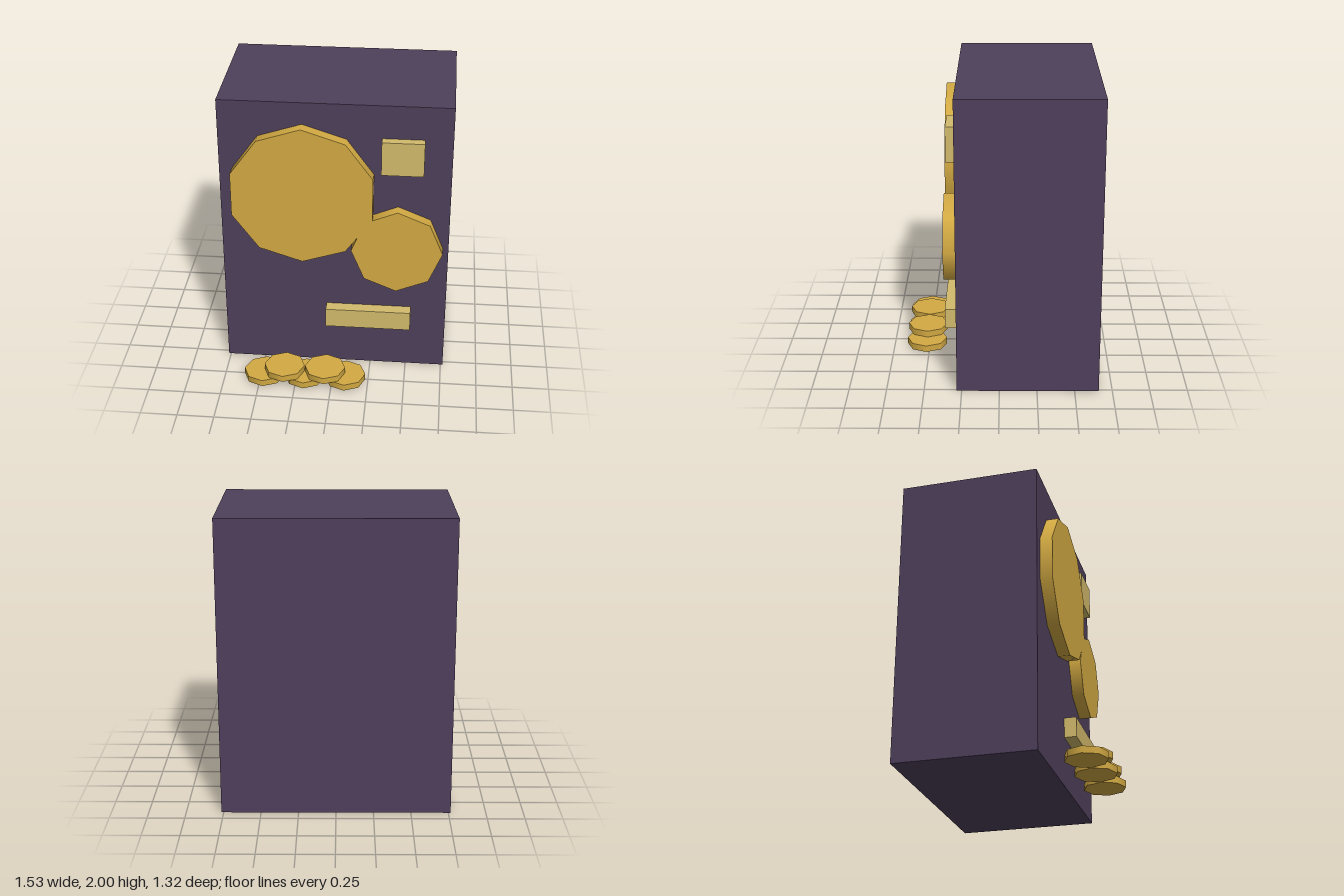
import * as THREE from 'three';

export function createModel() {
  const model = new THREE.Group();
  const mat = (name, color) => {
    const m = new THREE.MeshStandardMaterial({ color });
    m.name = name;
    return m;
  };
  const purple = mat('dark purple', 0x4e3f5b);
  const gold = mat('gold', 0xd3aa43);
  const pale = mat('pale gold', 0xd2ba6c);
  const FRONT = 0.283; // front face of the cabinet

  const add = (name, geometry, material, x, y, z) => {
    const mesh = new THREE.Mesh(geometry, material);
    mesh.name = name;
    mesh.position.set(x, y, z);
    model.add(mesh);
    return mesh;
  };
  // Parts mounted on the cabinet front, standing out by depth
  const plate = (name, w, h, depth, x, y) =>
    add(name, new THREE.BoxGeometry(w, h, depth), pale, x, y, FRONT + depth / 2);
  const disc = (name, radius, sides, depth, x, y) => {
    const geometry = new THREE.CylinderGeometry(radius, radius, depth, sides).rotateX(Math.PI / 2);
    add(name, geometry, gold, x, y, FRONT + depth / 2);
  };

  // Cabinet
  add('cabinet', new THREE.BoxGeometry(1.53, 2, 0.943), purple, 0, 1, -0.1885);

  // Front discs; the small one sits a hair lower where they overlap
  disc('largeDisc', 0.493, 10, 0.083, -0.213, 1.356);
  disc('smallDisc', 0.306, 8, 0.082, 0.421, 0.966);

  // Display panel and tray bar
  plate('displayPanel', 0.277, 0.235, 0.061, 0.445, 1.652);
  plate('trayBar', 0.583, 0.139, 0.083, 0.234, 0.412);

  // Coins stacked in two rows in front of the cabinet
  const coin = new THREE.CylinderGeometry(0.14, 0.14, 0.046, 8);
  for (const x of [-0.472, -0.19, 0.092]) add('lowerCoin', coin, gold, x, 0.036, 0.517);
  for (const x of [-0.331, -0.049]) add('upperCoin', coin, gold, x, 0.082, 0.517);

  return model;
}
